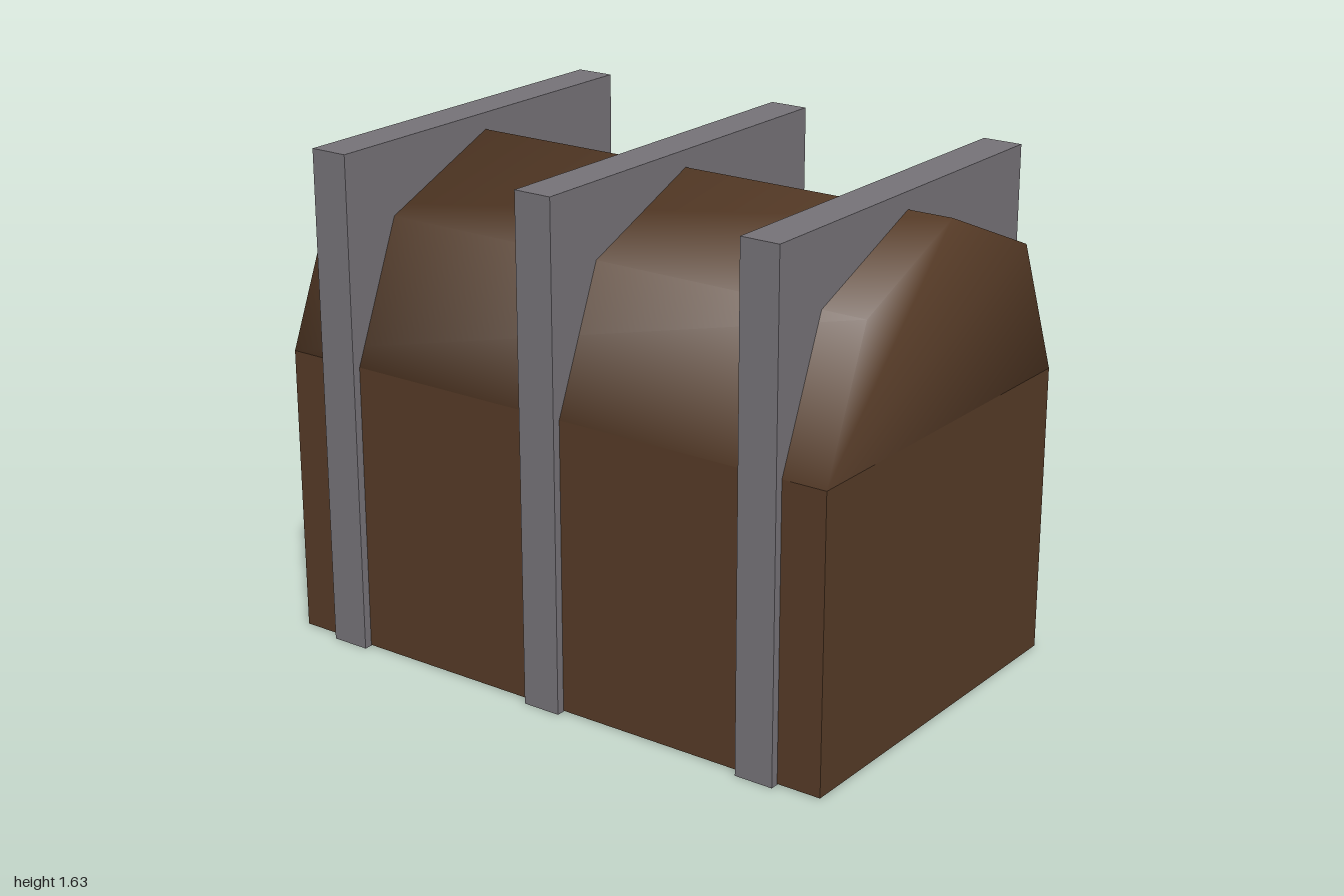
import * as THREE from 'three';

const wood = new THREE.MeshStandardMaterial({ color: 0x553a26 });
wood.name = 'brown wood';
const iron = new THREE.MeshStandardMaterial({ color: 0x757277 });
iron.name = 'grey iron';

const LENGTH = 2, RADIUS = 0.63, BODY_TOP = 0.95;

function box(name, w, bottom, top, d, x, material) {
  const mesh = new THREE.Mesh(new THREE.BoxGeometry(w, top - bottom, d), material);
  mesh.name = name;
  mesh.position.set(x, (bottom + top) / 2, 0);
  return mesh;
}

// Half of an eight-sided prism, with normals blended softly across its end caps
function lidGeometry() {
  const sides = 4, positions = [], normals = [], index = [];
  for (let i = 0; i <= sides; i++) {
    const a = (i / sides) * Math.PI;
    for (const s of [-1, 1]) {
      positions.push(s * LENGTH / 2, RADIUS * Math.sin(a), RADIUS * Math.cos(a));
      normals.push(s * 0.63, 0.777 * Math.sin(a), 0.777 * Math.cos(a));
    }
  }
  for (let i = 0; i < sides; i++) {
    const a = 2 * i, b = a + 1, c = a + 3, d = a + 2;
    index.push(a, b, c, a, c, d);
    if (i > 0) index.push(0, a, d, 1, c, b); // end cap fans
  }
  const geometry = new THREE.BufferGeometry();
  geometry.setAttribute('position', new THREE.Float32BufferAttribute(positions, 3));
  geometry.setAttribute('normal', new THREE.Float32BufferAttribute(normals, 3));
  geometry.setIndex(index);
  return geometry;
}

export function createModel() {
  const chest = new THREE.Group();
  chest.name = 'chest';

  // Body, raised a hair so the bands show cleanly underneath
  chest.add(box('body', LENGTH, 0.003, BODY_TOP, RADIUS * 2, 0, wood));

  // Faceted barrel lid
  const lid = new THREE.Mesh(lidGeometry(), wood);
  lid.name = 'lid';
  lid.position.y = BODY_TOP;
  chest.add(lid);

  // Three upright slab bands
  [['rightBand', -0.79], ['middleBand', 0], ['leftBand', 0.787]].forEach(([name, x]) => {
    chest.add(box(name, 0.13, 0, 1.635, 1.315, x, iron));
  });

  return chest;
}
